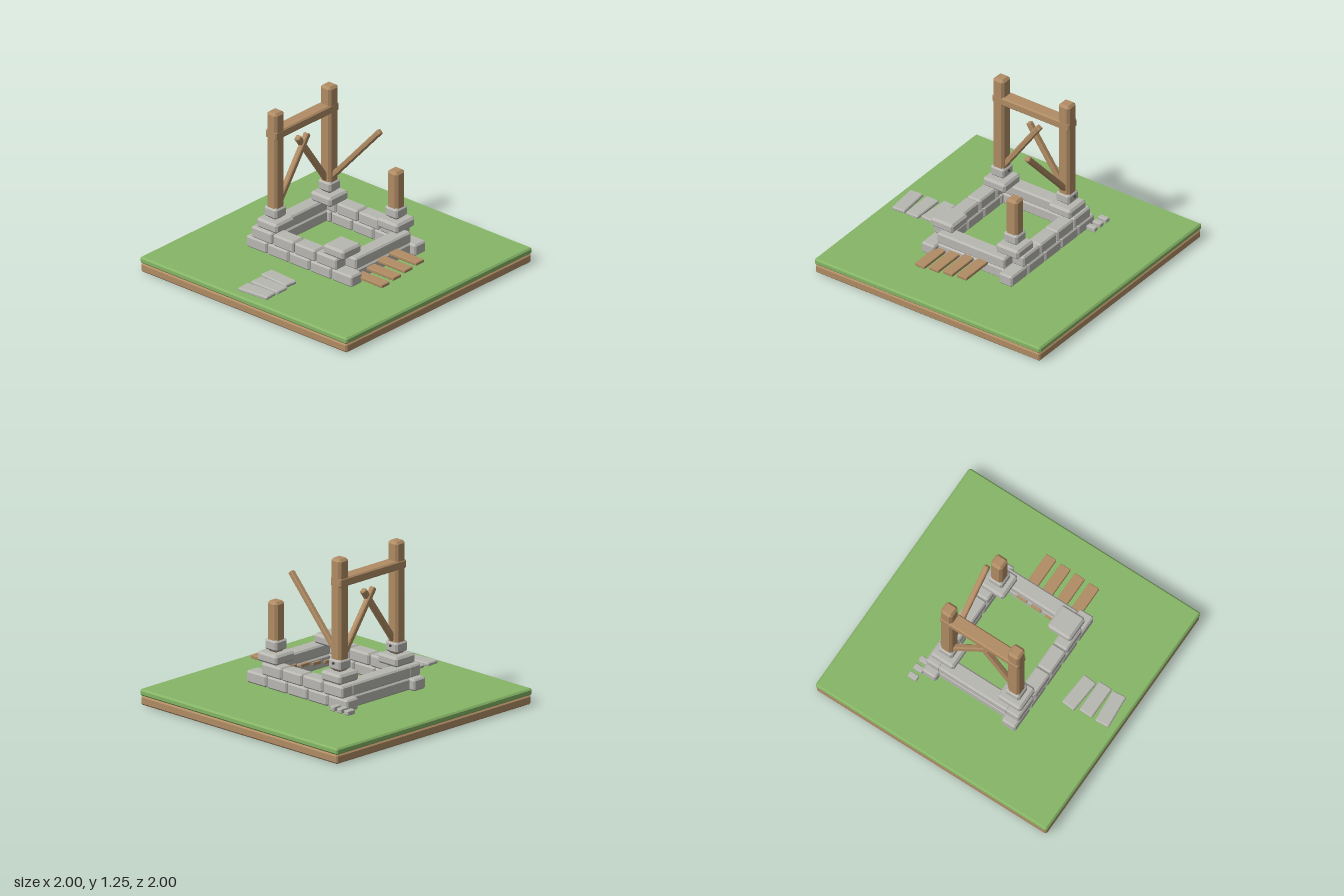
import * as THREE from 'three';
import { ConvexGeometry } from 'three/addons/geometries/ConvexGeometry.js';

// Box with evenly cut edges and corners
function chamferBox(w, h, d, c) {
  const x = w / 2, y = h / 2, z = d / 2, pts = [];
  for (const i of [-1, 1]) for (const j of [-1, 1]) for (const k of [-1, 1]) {
    pts.push(
      new THREE.Vector3(i * x, j * (y - c), k * (z - c)),
      new THREE.Vector3(i * (x - c), j * y, k * (z - c)),
      new THREE.Vector3(i * (x - c), j * (y - c), k * z));
  }
  return new ConvexGeometry(pts);
}

export function createModel() {
  const model = new THREE.Group();
  model.name = 'ruin';
  const mat = (name, color) => {
    const m = new THREE.MeshStandardMaterial({ color });
    m.name = name;
    return m;
  };
  const grass = mat('grass', 0x86b566);
  const stone = mat('stone', 0xb8b7b2);
  const wood = mat('wood', 0xb08c64);
  const iron = mat('iron', 0x4a4540);

  // Block given by its extents along each axis
  const block = (name, m, [x0, x1], [y0, y1], [z0, z1], c = 0.01) => {
    const mesh = new THREE.Mesh(chamferBox(x1 - x0, y1 - y0, z1 - z0, c), m);
    mesh.position.set((x0 + x1) / 2, (y0 + y1) / 2, (z0 + z1) / 2);
    mesh.name = name;
    model.add(mesh);
    return mesh;
  };
  const around = (c, size) => [c - size / 2, c + size / 2];

  // Square bar running between two points
  const brace = (name, a, b, size) => {
    const from = new THREE.Vector3(...a), to = new THREE.Vector3(...b);
    const dir = to.clone().sub(from);
    const mesh = new THREE.Mesh(chamferBox(size, dir.length(), size, 0.008), wood);
    mesh.position.copy(from).add(to).multiplyScalar(0.5);
    mesh.quaternion.setFromUnitVectors(new THREE.Vector3(0, 1, 0), dir.normalize());
    mesh.name = name;
    model.add(mesh);
  };

  // Ground
  block('soil', wood, [-0.995, 0.995], [0, 0.07], [-0.995, 0.995], 0.012);
  block('turf', grass, [-1, 1], [0.07, 0.12], [-1, 1], 0.012);

  // Front and back walls, two staggered courses
  const low = [0.145, 0.235], high = [0.235, 0.325];
  for (const s of [-1, 1]) {
    const z = around(s * 0.343, 0.118);
    for (let i = 0; i < 5; i++) {
      block('lowerStone', stone, around(-0.412 + i * 0.206, 0.2), low, z, 0.012);
    }
    for (let i = 0; i < 4; i++) {
      block('upperStone', stone, around(-0.362 + i * 0.208, 0.2), high, z, 0.012);
    }
    // Side walls
    const x = around(s * 0.402, 0.118);
    block('sideLowerStone', stone, x, low, [-0.3, 0.3], 0.012);
    block('sideUpperStone', stone, x, high, [-0.3, 0.3], 0.012);
  }

  // Corner footings, posts and collars; the front left-hand corner has lost its post
  const px = 0.32, pz = 0.29;
  for (const [sx, sz, top] of [[-1, 1, 1.25], [-1, -1, 1.25], [1, -1, 0.78], [1, 1, 0]]) {
    const x = sx * px - (sx < 0 ? 0.005 : 0), z = sz * pz;
    block('footing', stone, around(x, 0.2), [0.325, 0.4], around(z, 0.2), 0.016);
    if (!top) continue;
    block('collar', stone, around(x, 0.122), [0.413, 0.495], around(z, 0.122), 0.014);
    block('post', wood, around(x, 0.1), [0.4, top], around(z, 0.1), 0.018);
    if (sx < 0) block('bolt', iron, around(x, 0.016), [0.458, 0.474], [z - 0.072, z - 0.055], 0.002);
  }

  // Timber frame
  block('crossbeam', wood, around(-0.327, 0.106), [1.04, 1.107], [-0.34, 0.34], 0.01);
  for (const s of [-1, 1]) {
    brace('crossBrace', [-0.325 + s * 0.004, 0.47, s * 0.285], [-0.325 + s * 0.004, 0.95, s * -0.05], 0.044);
  }
  brace('looseBrace', [-0.32, 0.5, -0.29], [0.167, 1.035, -0.29], 0.042);

  // Stepped planks pushed through the side wall
  for (let i = 0; i < 4; i++) {
    const y = 0.22 - i * 0.0145;
    block('plank', wood, [0.33, 0.72], [y, y + 0.026], around(-0.105 + i * 0.123, 0.086), 0.004);
  }

  // Small stones by the back corner
  for (const x of [-0.57, -0.498, -0.427]) {
    block('smallStone', stone, around(x, 0.044), [0.155, 0.19], [-0.475, -0.4], 0.005);
  }

  // Path slabs
  for (const [x, z, turn] of [[0, 0.615, -0.08], [0.022, 0.743, 0], [0.022, 0.873, 0.08]]) {
    block('pathSlab', stone, around(x, 0.262), [0.117, 0.145], around(z, 0.11), 0.007).rotation.y = turn;
  }
  return model;
}
